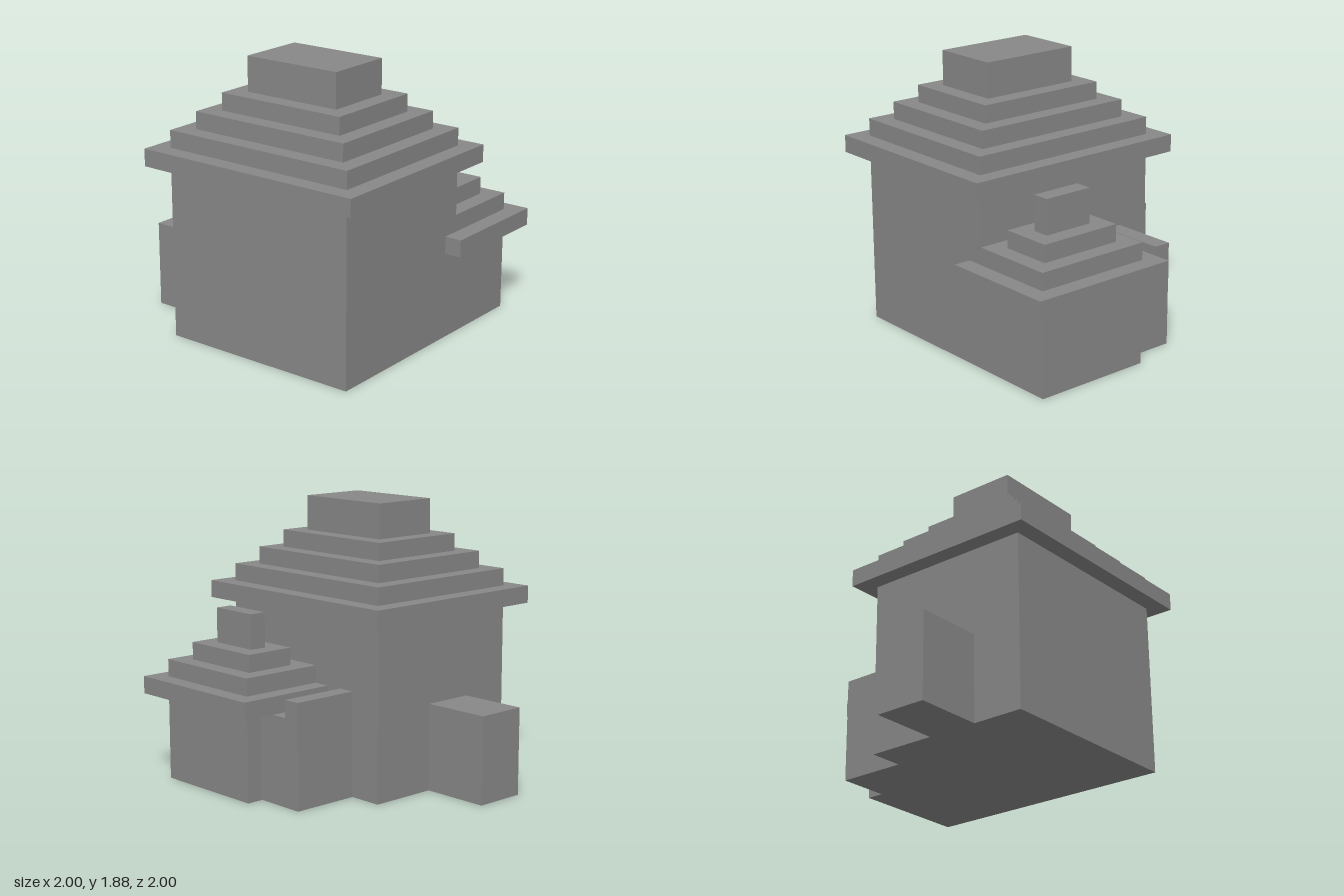
import * as THREE from 'three';

const U = 2 / 17; // one block unit

export function createModel() {
  const house = new THREE.Group();
  house.name = 'house';
  const stone = new THREE.MeshStandardMaterial({ color: 0x888888 });
  stone.name = 'grey stone';

  // Box from its limits in block units: x and z count from the -1 edge, y from the ground
  function block(name, x0, x1, y0, y1, z0, z1, parent = house) {
    const geometry = new THREE.BoxGeometry((x1 - x0) * U, (y1 - y0) * U, (z1 - z0) * U);
    const mesh = new THREE.Mesh(geometry, stone);
    mesh.name = name;
    mesh.position.set(((x0 + x1) / 2) * U - 1, ((y0 + y1) / 2) * U, ((z0 + z1) / 2) * U - 1);
    parent.add(mesh);
  }

  // Stepped roof: each tier is one unit high and set in by one unit; a taller cap ends it
  function steppedRoof(name, x0, x1, y, z0, z1, tiers) {
    const roof = new THREE.Group();
    roof.name = name;
    for (let i = 0; i < tiers; i++) {
      block(`${name}Tier${i + 1}`, x0 + i, x1 - i, y + i, y + i + 1, z0 + i, z1 - i, roof);
    }
    const t = tiers;
    block(`${name}Cap`, x0 + t, x1 - t, y + t, y + t + 2, z0 + t, z1 - t, roof);
    house.add(roof);
  }

  // Main house
  block('mainWalls', 1, 11, 0, 10, 4, 16);
  steppedRoof('mainRoof', 0, 12, 10, 3, 17, 4);

  // Lower side wing
  block('wingWalls', 11, 16, 0, 5, 9, 16);
  steppedRoof('wingRoof', 10, 17, 5, 8, 17, 3);

  // Porch behind the wing, with a raised rear edge
  block('porch', 11, 15, 0, 5, 7, 9);
  block('porchRearWall', 11, 15, 0, 6, 6, 7);

  // Back annex
  block('backAnnex', 4, 7, 0, 5, 0, 4);

  return house;
}
